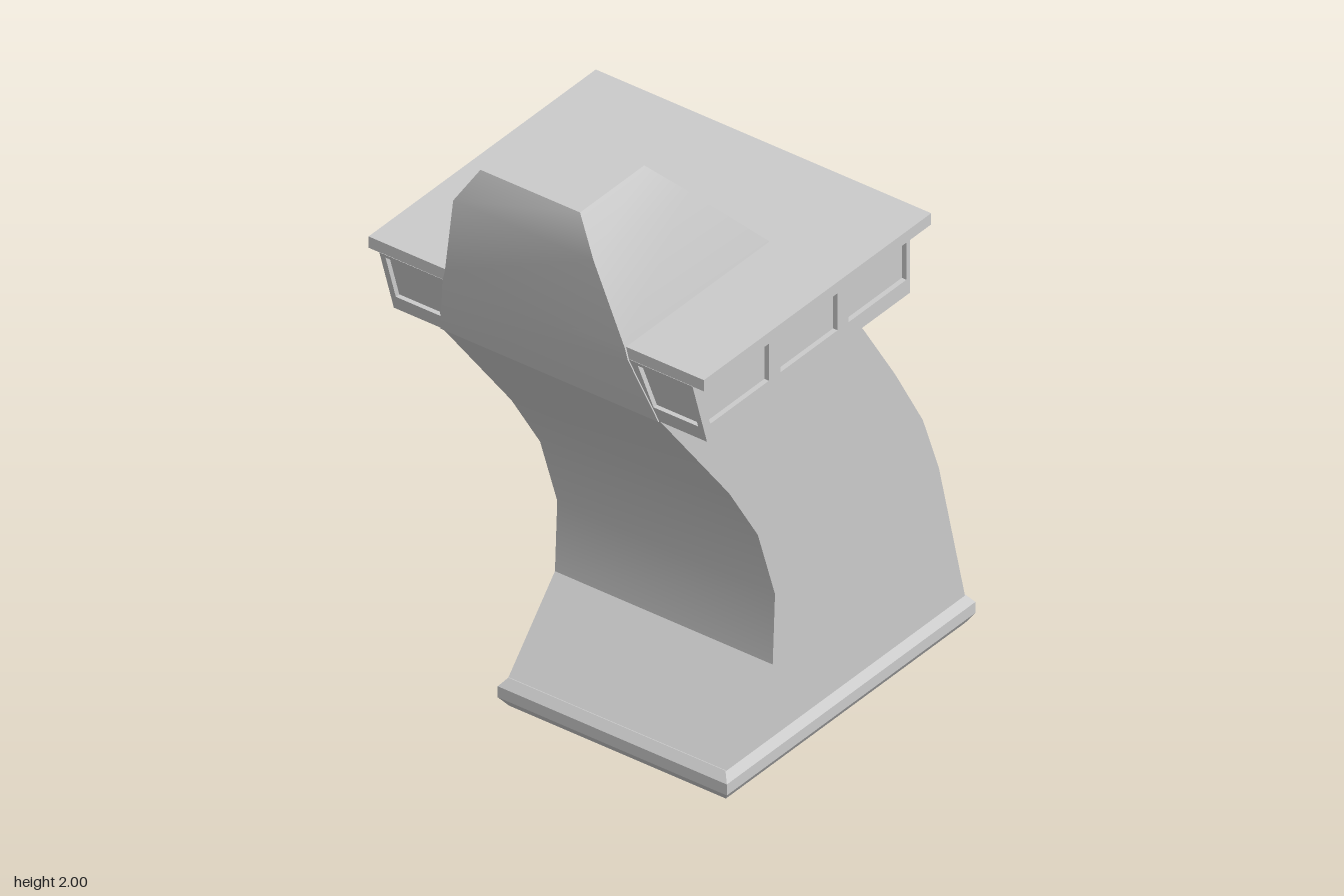
import * as THREE from 'three';
import { toCreasedNormals } from 'three/addons/utils/BufferGeometryUtils.js';

const material = new THREE.MeshStandardMaterial({ color: 0xcccccc });
const CREASE = 0.52;

const polygon = (points, Type = THREE.Shape) => new Type(points.map(([x, y]) => new THREE.Vector2(x, y)));

function plate(points, depth, holes = []) {
  const shape = polygon(points);
  shape.holes = holes.map((h) => polygon(h, THREE.Path));
  return new THREE.ExtrudeGeometry(shape, { depth, bevelEnabled: false, curveSegments: 1 });
}

// Side profile of [z, y] points, extruded across x and centred on x = cx
function sideProfile(points, width, cx = 0, holes = []) {
  return plate(points, width, holes).rotateY(-Math.PI / 2).translate(cx + width / 2, 0, 0);
}

// Closed solid through rectangular sections [y, halfWidth, zBack, zFront]
function loft(sections) {
  const pos = [];
  const index = [];
  const quad = (a, b, c, d) => index.push(a, b, c, a, c, d);
  for (const [y, w, zb, zf] of sections) pos.push(-w, y, zf, w, y, zf, w, y, zb, -w, y, zb);
  for (let s = 0; s < sections.length - 1; s++) {
    for (let i = 0; i < 4; i++) {
      const a = s * 4 + i;
      const b = s * 4 + ((i + 1) % 4);
      quad(a, b, b + 4, a + 4);
    }
  }
  const t = (sections.length - 1) * 4;
  quad(3, 2, 1, 0);
  quad(t, t + 1, t + 2, t + 3);
  const geo = new THREE.BufferGeometry();
  geo.setAttribute('position', new THREE.Float32BufferAttribute(pos, 3));
  geo.setIndex(index);
  return geo;
}

const rect = (x0, x1, y0, y1) => [[x0, y0], [x1, y0], [x1, y1], [x0, y1]];

export function createModel() {
  const model = new THREE.Group();
  model.name = 'tower';
  const add = (name, geo, parent = model) => {
    const mesh = new THREE.Mesh(toCreasedNormals(geo, CREASE), material);
    mesh.name = name;
    parent.add(mesh);
    return mesh;
  };

  // Plinth with chamfered rim
  add('basePlinth', loft([
    [0, 0.362, -0.717, 0.328],
    [0.03, 0.382, -0.735, 0.35],
    [0.065, 0.382, -0.735, 0.35],
    [0.09, 0.362, -0.717, 0.33],
  ]));

  // Curved, forward-leaning column
  add('column', sideProfile([
    [-0.715, 0.085], [0.332, 0.085], [0.125, 0.32], [0.115, 0.54], [0.19, 0.77],
    [0.315, 0.97], [0.62, 1.367], [-0.11, 1.367], [-0.27, 1.18],
    [-0.41, 0.96], [-0.53, 0.75], [-0.6, 0.56],
  ], 0.726));

  // Cabin: solid core behind thin walls with window openings
  const cabin = new THREE.Group();
  cabin.name = 'cabin';
  model.add(cabin);
  const y0 = 1.365, y1 = 1.576, wy0 = 1.415, wy1 = 1.565;
  const t = 0.015, halfW = 0.522, back = -0.265;
  const front = (y) => 0.62 + 0.3 * (y - y0);
  const profile = (inset) => [
    [back + inset, y0], [front(y0) - inset, y0], [front(y1) - inset, y1], [back + inset, y1],
  ];
  add('cabinCore', sideProfile(profile(t), 2 * (halfW - t)), cabin);

  const sideWindows = [
    rect(-0.25, 0.003, wy0, wy1),
    rect(0.05, 0.3, wy0, wy1),
    [[0.35, wy0], [0.605, wy0], [0.663, wy1], [0.35, wy1]],
  ];
  for (const s of [1, -1]) {
    add(s > 0 ? 'leftWall' : 'rightWall', sideProfile(profile(0), t, s * (halfW - t / 2), sideWindows), cabin);
  }

  const inner = halfW - t;
  const wallOutline = rect(-inner, inner, y0, y1);
  const backWindows = [-0.347, 0, 0.347].map((x) => rect(x - 0.147, x + 0.147, wy0, wy1));
  add('backWall', plate(wallOutline, t, backWindows).translate(0, 0, back), cabin);

  // Front wall is sheared to follow the sloping cabin face
  const frontWindows = [1, -1].map((s) =>
    [[0.355, wy0], [0.504, wy0], [0.504, wy1], [0.337, wy1]].map(([x, y]) => [s * x, y]));
  const frontGeo = plate(wallOutline, t, frontWindows);
  const p = frontGeo.attributes.position;
  for (let i = 0; i < p.count; i++) p.setZ(i, p.getZ(i) + front(p.getY(i)) - t);
  add('frontWall', frontGeo, cabin);

  // Overhanging flat roof
  const roofBack = -0.31, roofFront = 0.682;
  add('roof', new THREE.BoxGeometry(1.118, 0.036, roofFront - roofBack)
    .translate(0, 1.593, (roofFront + roofBack) / 2));

  // Tapered hood rising from the cabin front through the roof
  add('hood', loft([
    [1.365, 0.363, 0.055, 0.624],
    [1.575, 0.309, 0.055, 0.687],
    [1.61, 0.3, 0.055, 0.688],
    [1.89, 0.234, 0.325, 0.738],
    [2, 0.166, 0.428, 0.708],
  ]));

  return model;
}
